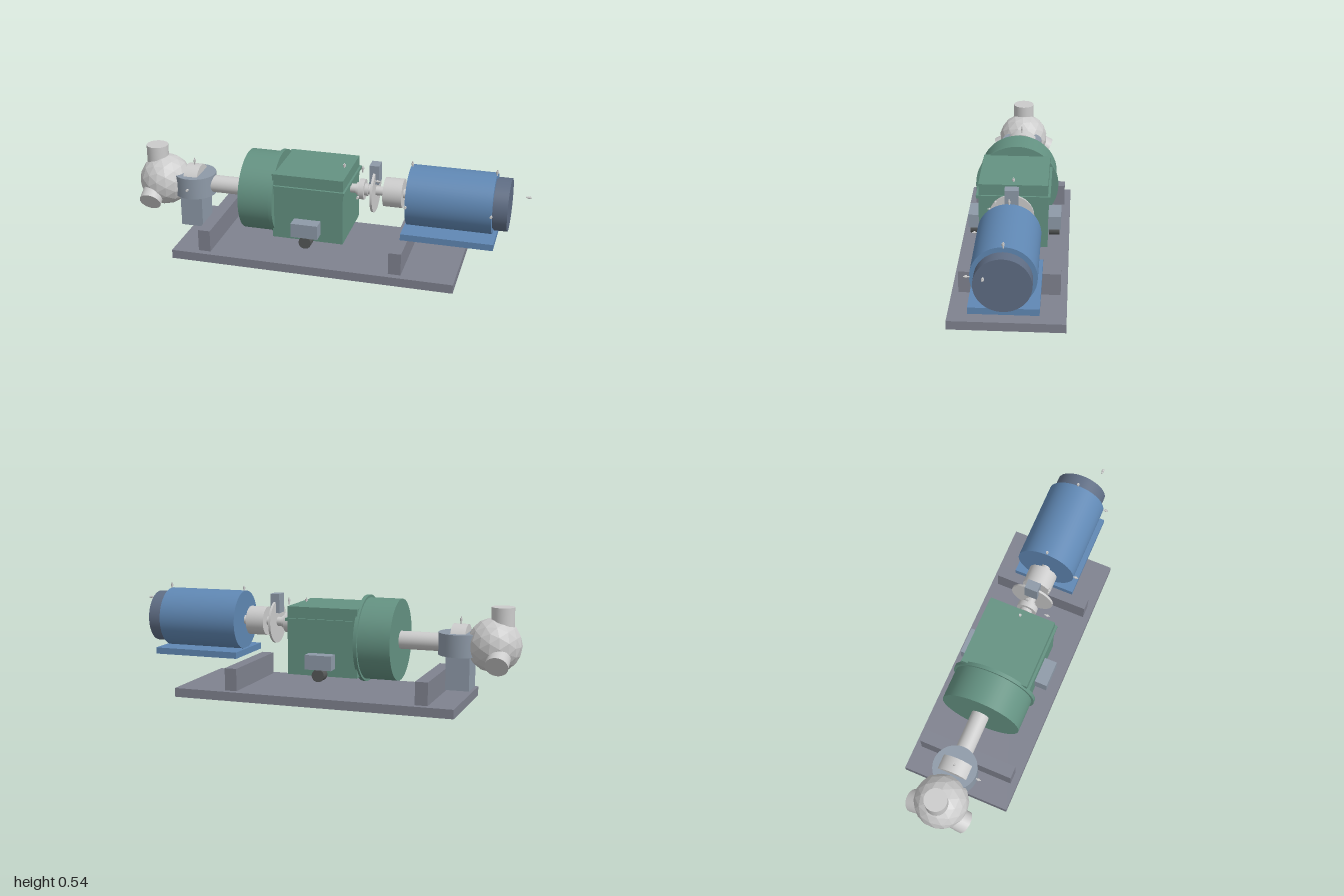
import * as THREE from 'three';

const mat = (color, flatShading = false) => new THREE.MeshStandardMaterial({ color, flatShading });

export function createModel() {
  const root = new THREE.Group();
  root.name = 'drivetrain';
  const steel = mat(0xcccccc), facet = mat(0xcccccc, true);
  const frame = mat(0x7f828f), green = mat(0x649282), blue = mat(0x6088b4);
  const slate = mat(0x5f6d84), housing = mat(0x8e9aa8), rubber = mat(0x555858);

  const add = (name, geo, material, parent = root) => {
    const mesh = new THREE.Mesh(geo, material);
    mesh.name = name;
    parent.add(mesh);
    return mesh;
  };
  // Box given by its minimum and maximum on each axis
  const box = (name, m, x0, x1, y0, y1, z0, z1) => {
    const b = add(name, new THREE.BoxGeometry(x1 - x0, y1 - y0, z1 - z0), m);
    b.position.set((x0 + x1) / 2, (y0 + y1) / 2, (z0 + z1) / 2);
    return b;
  };
  // Cylinder along x from x0 to x1 at height y
  const drum = (name, m, x0, x1, r, y, sides = 48) => {
    const c = add(name, new THREE.CylinderGeometry(r, r, x1 - x0, sides), m);
    c.rotation.z = -Math.PI / 2;
    c.position.set((x0 + x1) / 2, y, 0);
    return c;
  };
  // Small sensor: stem, collar and tip, growing from a point along a direction
  const sensor = (x, y, z, dir, length = 0.028) => {
    const g = new THREE.Group();
    g.name = 'sensor';
    [[0.0035, 0, 0.45], [0.0065, 0.4, 0.75], [0.003, 0.75, 1]].forEach(([r, a, b]) => {
      const s = add('sensorPart', new THREE.CylinderGeometry(r, r, (b - a) * length, 12), steel, g);
      s.position.y = (a + b) / 2 * length;
    });
    g.position.set(x, y, z);
    g.quaternion.setFromUnitVectors(new THREE.Vector3(0, 1, 0), dir);
    root.add(g);
  };
  const X = new THREE.Vector3(1, 0, 0), Y = new THREE.Vector3(0, 1, 0), Z = new THREE.Vector3(0, 0, 1);
  const low = 0.308, high = 0.366; // shaft heights

  // Bed frame
  box('bedPlate', frame, -0.74, 0.68, 0, 0.045, -0.275, 0.275);
  for (const x of [-0.578, 0.39]) box('crossBeam', frame, x - 0.031, x + 0.031, 0.045, 0.157, -0.243, 0.243);

  // Rotor hub with three blade roots
  const hub = add('hub', new THREE.IcosahedronGeometry(0.132, 2), facet);
  hub.position.set(-0.868, low, 0);
  for (let i = 0; i < 3; i++) {
    const pivot = new THREE.Group();
    pivot.name = 'bladeRoot';
    pivot.position.set(-0.905, low, 0);
    pivot.rotation.x = i * Math.PI * 2 / 3;
    const len = i === 0 ? 0.184 : 0.158;
    add('bladeStub', new THREE.CylinderGeometry(0.055, 0.055, len, 32), steel, pivot).position.y = len / 2;
    root.add(pivot);
  }

  // Main bearing and low speed shaft
  drum('mainShaft', steel, -0.87, -0.4, 0.044, low, 32);
  add('bearingHousing', new THREE.CylinderGeometry(0.107, 0.107, 0.108, 48), housing).position.set(-0.706, low, 0);
  drum('bearingRing', steel, -0.742, -0.67, 0.087, 0.315);
  box('bearingPedestal', housing, -0.765, -0.65, 0.09, 0.26, -0.07, 0.07);
  sensor(-0.706, 0.402, 0, Y, 0.036);
  sensor(-0.706, low, 0.104, Z);

  // Gearbox
  drum('gearDrum', green, -0.41, -0.24, 0.2, low, 64);
  drum('gearFlange', green, -0.25, -0.232, 0.2125, low, 64);
  box('gearCase', green, -0.24, 0.115, 0.135, 0.47, -0.169, 0.169);
  box('caseSeam', green, -0.235, 0.125, 0.398, 0.413, -0.181, 0.181);
  for (const s of [-1, 1]) {
    const arm = box('torqueArm', housing, -0.13, 0.004, 0.176, 0.247, -0.0325, 0.0325);
    arm.position.z = s * 0.2;
    const mount = add('rubberMount', new THREE.CylinderGeometry(0.031, 0.031, 0.052, 32), rubber);
    mount.rotation.x = Math.PI / 2;
    mount.position.set(-0.061, 0.148, s * 0.2);
  }
  sensor(0.08, 0.465, 0, Y);

  // High speed shaft, coupling and brake
  drum('fastShaft', steel, 0.11, 0.42, 0.023, high, 32);
  drum('shaftCollar', steel, 0.145, 0.205, 0.031, high, 32);
  drum('couplingFlange', steel, 0.16, 0.187, 0.051, high);
  drum('brakeDisc', steel, 0.232, 0.243, 0.108, high);
  box('brakeCaliper', housing, 0.213, 0.261, 0.412, 0.508, -0.033, 0.033);
  drum('coupling', steel, 0.287, 0.38, 0.072, high);
  sensor(0.173, 0.455, 0, Y, 0.034);
  sensor(0.173, high, 0.092, Z);
  sensor(0.25, 0.448, 0.075, X);

  // Generator
  drum('generatorBody', blue, 0.412, 0.825, 0.148, high, 64);
  drum('generatorNeck', slate, 0.82, 0.835, 0.12, high, 64);
  drum('generatorEnd', slate, 0.832, 0.896, 0.1285, high, 64);
  box('generatorBase', blue, 0.396, 0.843, 0.19, 0.222, -0.158, 0.158);
  for (const x of [0.418, 0.825]) {
    sensor(x, 0.511, 0, Y);
    sensor(x, high, 0.145, Z);
  }
  sensor(0.972, 0.448, 0.075, X);
  return root;
}
